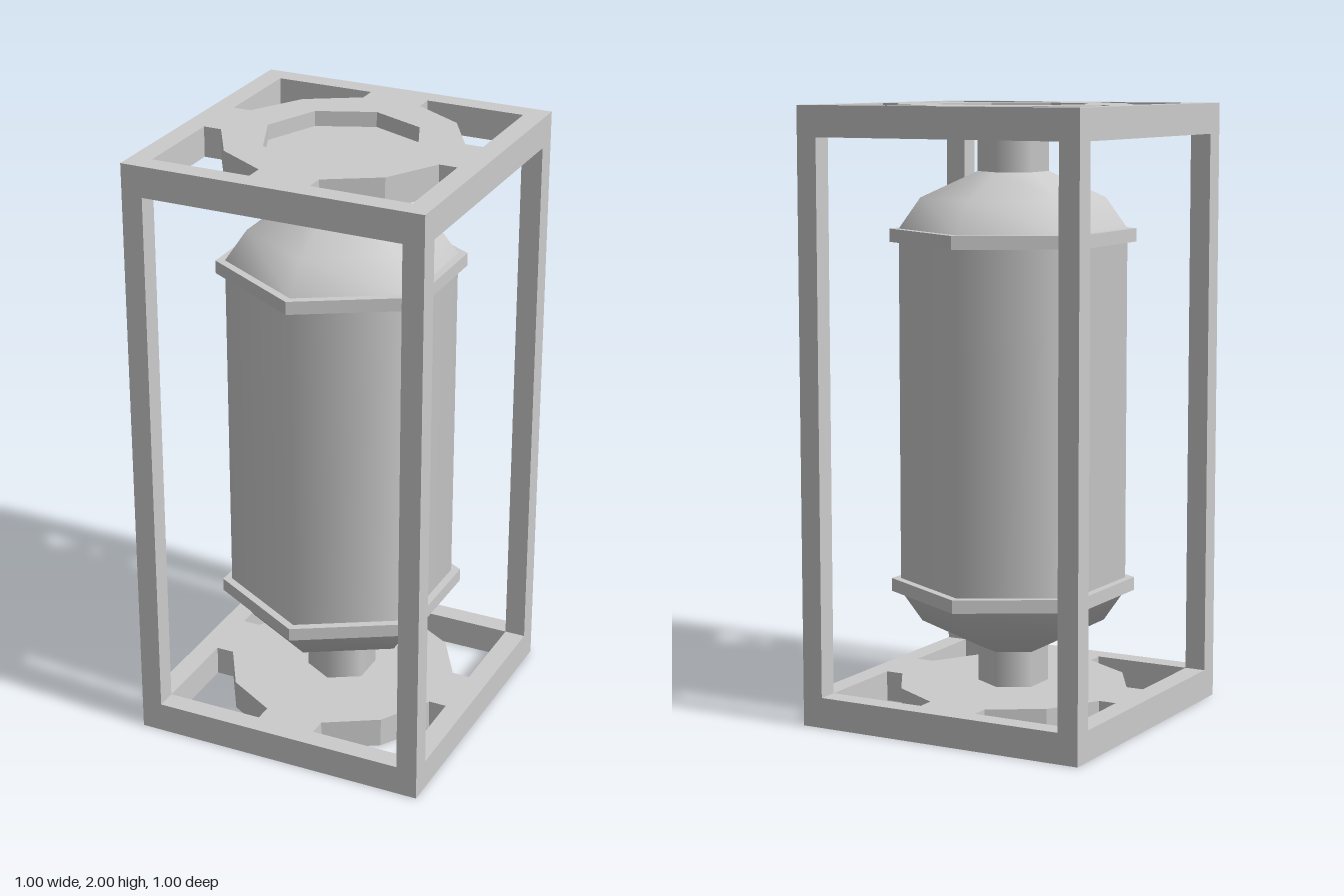
import * as THREE from 'three';

const SIDES = 6; // the vessel is six-sided, with corners on the z axis

function material(flatShading = false) {
  return new THREE.MeshStandardMaterial({ color: 0xcccccc, flatShading });
}

function addMesh(parent, name, geometry, y = 0, flat = false) {
  const mesh = new THREE.Mesh(geometry, material(flat));
  mesh.name = name;
  mesh.position.y = y;
  parent.add(mesh);
  return mesh;
}

// End plate: square border, four arms and a twelve-sided disc with an octagonal recess below
function createEndPlate(name) {
  const plate = new THREE.Group();
  plate.name = name;
  const half = 0.5, inner = 0.43, arm = 0.1, disc = 0.37, chamfer = 0.27;
  const points = (list) => list.map(([x, y]) => new THREE.Vector2(x, y));

  const outline = new THREE.Shape(points([[-half, -half], [half, -half], [half, half], [-half, half]]));

  // corner windows
  for (const sx of [-1, 1]) {
    for (const sy of [-1, 1]) {
      const corner = [[inner, inner], [arm, inner], [arm, disc], [chamfer, chamfer], [disc, arm], [inner, arm]];
      outline.holes.push(new THREE.Path(points(corner.map(([x, y]) => [x * sx, y * sy]))));
    }
  }

  // central octagon
  const octagon = [];
  for (let i = 0; i < 8; i++) {
    const a = (i * Math.PI) / 4;
    octagon.push([0.257 * Math.cos(a), 0.257 * Math.sin(a)]);
  }
  outline.holes.push(new THREE.Path(points(octagon)));

  const slab = (shape, depth) =>
    new THREE.ExtrudeGeometry(shape, { depth, bevelEnabled: false }).rotateX(-Math.PI / 2);
  addMesh(plate, 'plateFrame', slab(outline, 0.1), 0, true);
  addMesh(plate, 'recessFloor', slab(new THREE.Shape(points(octagon)), 0.05), 0.05, true);
  return plate;
}

// One end of the vessel, pointing up from y = 0 at the shoulder
function createVesselEnd(name) {
  const end = new THREE.Group();
  end.name = name;
  const dome = [[0.37, 0], [0.3, 0.1], [0.115, 0.185]].map(([r, y]) => new THREE.Vector2(r, y));
  addMesh(end, 'dome', new THREE.LatheGeometry(dome, SIDES));
  addMesh(end, 'pipe', new THREE.CylinderGeometry(0.115, 0.115, 0.12, SIDES, 1, true), 0.242);
  addMesh(end, 'flange', new THREE.CylinderGeometry(0.4, 0.4, 0.043, SIDES), -0.0215, true);
  return end;
}

export function createModel() {
  const model = new THREE.Group();
  model.name = 'cagedVessel';

  // Cage
  const bottomPlate = createEndPlate('bottomPlate');
  const topPlate = createEndPlate('topPlate');
  topPlate.rotation.x = Math.PI;
  topPlate.position.y = 2;
  model.add(bottomPlate, topPlate);

  for (const sx of [-1, 1]) {
    for (const sz of [-1, 1]) {
      const post = addMesh(model, 'cornerPost', new THREE.BoxGeometry(0.07, 1.8, 0.07), 1);
      post.position.x = sx * 0.465;
      post.position.z = sz * 0.465;
    }
  }

  // Vessel
  addMesh(model, 'vesselBody', new THREE.CylinderGeometry(0.37, 0.37, 1.19, SIDES, 1, true), 1.003);
  const upperEnd = createVesselEnd('upperEnd');
  upperEnd.position.y = 1.6;
  const lowerEnd = createVesselEnd('lowerEnd');
  lowerEnd.rotation.x = Math.PI;
  lowerEnd.position.y = 0.405;
  model.add(upperEnd, lowerEnd);

  return model;
}
